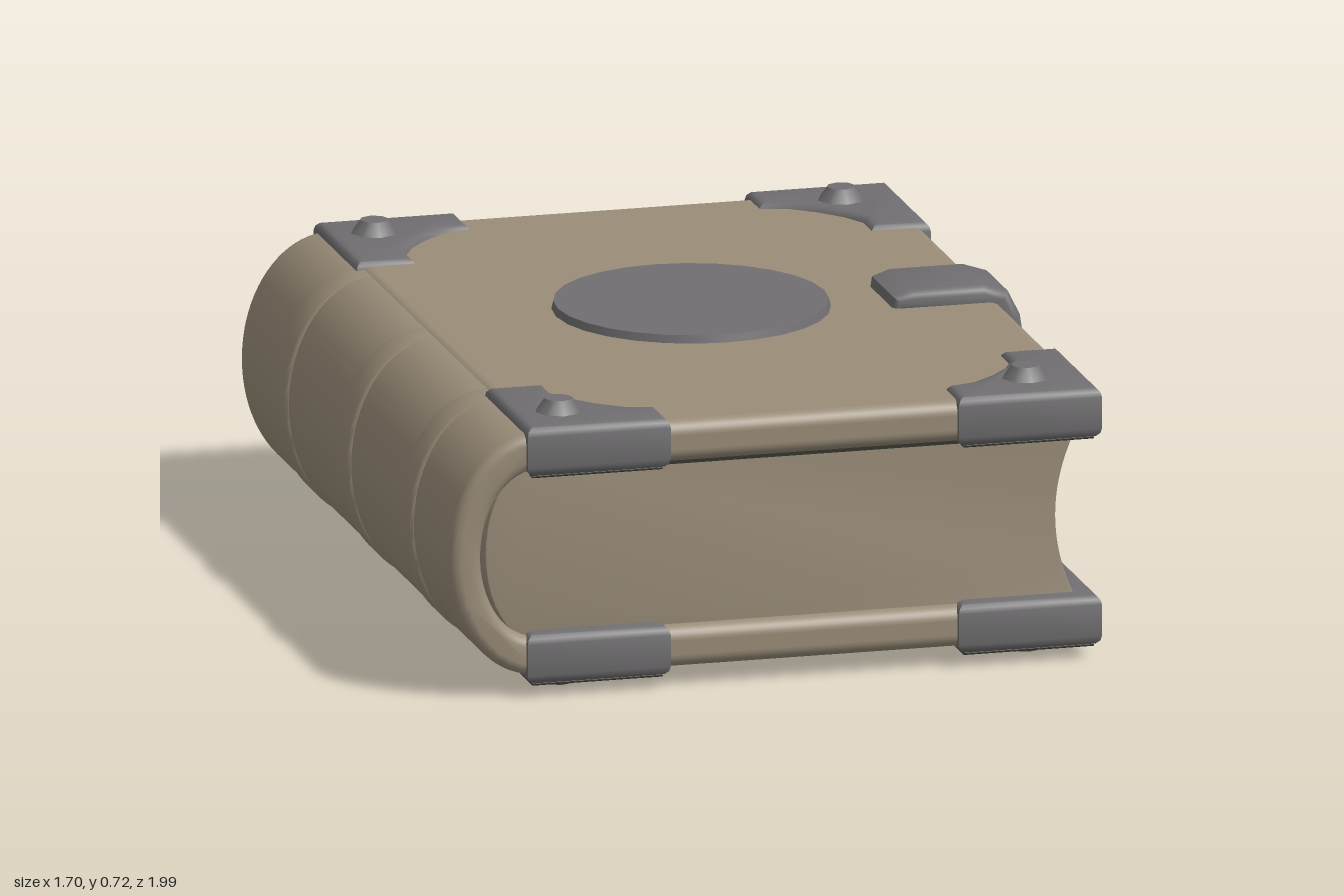
import * as THREE from 'three';
import { toCreasedNormals } from 'three/addons/utils/BufferGeometryUtils.js';
import { RoundedBoxGeometry } from 'three/addons/geometries/RoundedBoxGeometry.js';

const leather = new THREE.MeshStandardMaterial({ color: 0x9a8d79 });
leather.name = 'leather';
const metal = new THREE.MeshStandardMaterial({ color: 0x706e70 });
metal.name = 'metal';
const dark = new THREE.MeshStandardMaterial({ color: 0x35342c });
dark.name = 'darkTarnish';

const MID = 0.36; // height of the book's middle plane

// Extrusion of given total depth, centred on its depth axis, with rounded edges
function slab(shape, depth, bevel = 0.02, inset = bevel) {
  const geo = new THREE.ExtrudeGeometry(shape, {
    depth: depth - 2 * bevel, curveSegments: 20, bevelEnabled: true,
    bevelThickness: bevel, bevelSize: bevel, bevelOffset: -inset, bevelSegments: 3,
  });
  geo.translate(0, 0, -(depth - 2 * bevel) / 2);
  return toCreasedNormals(geo, 0.7);
}

// C-shaped section of the rounded back, between two half ellipses
function arcShape(rxOut, ryOut, rxIn, ryIn) {
  const s = new THREE.Shape();
  s.absellipse(-0.62, MID, rxOut, ryOut, Math.PI / 2, Math.PI * 1.5, false);
  s.absellipse(-0.62, MID, rxIn, ryIn, Math.PI * 1.5, Math.PI / 2, true);
  s.closePath();
  return s;
}

// Corner plate outline, measured inward from the outer corner
function cornerShape(sx, sz) {
  const pts = [[0, 0], [0.36, 0], [0.36, 0.13], [0.29, 0.15], [0.23, 0.2],
    [0.18, 0.26], [0.15, 0.32], [0.15, 0.4], [0, 0.4]];
  return new THREE.Shape(pts.map(([u, v]) => new THREE.Vector2(-sx * u, sz * v)));
}

export function createModel() {
  const book = new THREE.Group();
  book.name = 'book';
  const add = (name, geo, mat, x = 0, y = 0, z = 0) => {
    const m = new THREE.Mesh(geo, mat);
    m.name = name;
    m.position.set(x, y, z);
    book.add(m);
    return m;
  };

  // Cover boards
  add('topCover', new RoundedBoxGeometry(1.43, 0.105, 1.965, 4, 0.035), leather, 0.07, 0.618, 0);
  add('bottomCover', new RoundedBoxGeometry(1.43, 0.105, 1.965, 4, 0.035), leather, 0.07, 0.102, 0);

  // Spine with raised bands and a dark lining
  add('spine', slab(arcShape(0.215, 0.3, 0.145, 0.215), 1.965, 0.025, 0.02), leather);
  for (const z of [-0.58, 0, 0.58])
    add('spineBand', slab(arcShape(0.23, 0.305, 0.18, 0.26), 0.12, 0.015), leather, 0, 0, z);
  add('spineLining', slab(arcShape(0.153, 0.22, 0.146, 0.213), 1.93, 0.001), dark);

  // Page block: rounded at the spine, hollow at the fore edge
  const pages = new THREE.Shape();
  pages.moveTo(-0.62, 0.58);
  pages.absellipse(-0.62, MID, 0.125, 0.22, Math.PI / 2, Math.PI * 1.5, false);
  pages.lineTo(0.745, 0.14);
  pages.quadraticCurveTo(0.635, MID, 0.745, 0.58);
  pages.closePath();
  add('pages', slab(pages, 1.9, 0.003), leather);

  // Dark seam beneath the top cover
  add('foreEdgeSeam', new THREE.BoxGeometry(0.009, 0.025, 1.88), dark, 0.733, 0.555, 0);
  for (const s of [-1, 1])
    add('pageSeam', new THREE.BoxGeometry(1.3, 0.014, 0.008), dark, 0.05, 0.564, s * 0.949);

  // Dark marks on the fore edge beside the strap
  const mark = new THREE.Shape();
  mark.moveTo(0.742, 0.15);
  mark.quadraticCurveTo(0.636, MID, 0.742, 0.57);
  mark.lineTo(0.75, 0.57);
  mark.quadraticCurveTo(0.644, MID, 0.75, 0.15);
  mark.closePath();
  for (const s of [-1, 1])
    add('strapMark', slab(mark, 0.04, 0.001), dark, 0, 0, s * 0.135);

  // Round plate on the top cover
  add('coverDisc', new THREE.CylinderGeometry(0.335, 0.345, 0.04, 28), metal, 0.04, 0.67, -0.035);

  // Corner plates and studs on both covers
  for (const top of [true, false]) for (const sx of [-1, 1]) for (const sz of [-1, 1]) {
    const x = sx > 0 ? 0.795 : -0.65, z = sz * 0.995;
    const shape = cornerShape(sx, sz);
    const plate = slab(shape, 0.128, 0.025);
    plate.rotateX(-Math.PI / 2);
    add('cornerPlate', plate, metal, x, top ? 0.621 : 0.099, z);

    const under = slab(shape, 0.006, 0.002, 0.018);
    under.rotateX(-Math.PI / 2);
    add('cornerUnderside', under, dark, x, top ? 0.556 : 0.034, z);

    const stud = new THREE.CylinderGeometry(0.035, 0.06, 0.034, 8);
    if (!top) stud.rotateX(Math.PI);
    add('stud', toCreasedNormals(stud, 0.9), metal, sx > 0 ? 0.64 : -0.535, top ? 0.7 : 0.02, sz * 0.855);
  }

  // Clasp strap wrapping the fore edge
  const outline = [[0.51, 0.66], [0.515, 0.695], [0.56, 0.71], [0.74, 0.71], [0.8, 0.69],
    [0.83, 0.63], [0.85, 0.5], [0.84, 0.3], [0.825, 0.08], [0.8, 0.03], [0.76, 0.01],
    [0.58, 0.008], [0.55, 0.03], [0.55, 0.07], [0.74, 0.07], [0.755, 0.16],
    [0.745, MID], [0.755, 0.56], [0.74, 0.65]];
  const strap = new THREE.Shape(outline.map(p => new THREE.Vector2(...p)));
  add('strap', slab(strap, 0.235, 0.02, 0.018), metal, 0, 0, -0.003);
  add('strapLining', new THREE.BoxGeometry(0.008, 0.4, 0.2), dark, 0.745, MID, 0);
  add('strapUnderside', new THREE.BoxGeometry(0.17, 0.008, 0.18), dark, 0.67, 0.006, 0);

  return book;
}
